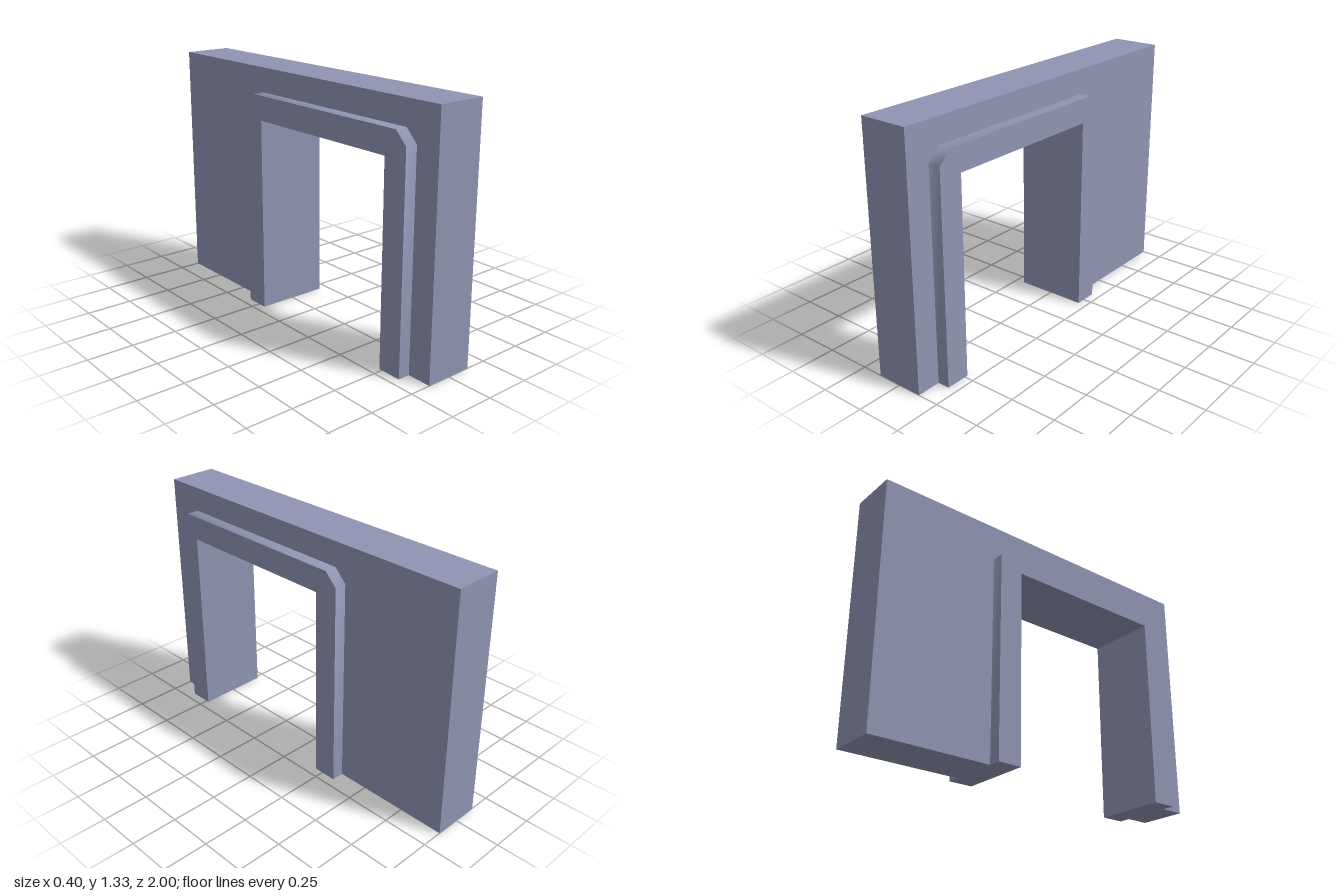
import * as THREE from 'three';
import { toCreasedNormals } from 'three/addons/utils/BufferGeometryUtils.js';

const WALL_HALF = 0.1333;   // half thickness of the wall
const TRIM_DEPTH = 0.0667;  // how far the trim stands proud

// Doorway opening, as [z, y]
const DOOR = { back: -0.2, front: 0.7333, top: 1.0667 };

// Arch-like outline: an outer path closed along the doorway edges
function archShape(outer) {
  const points = [
    ...outer,
    [DOOR.back, 0], [DOOR.back, DOOR.top], [DOOR.front, DOOR.top], [DOOR.front, 0],
  ];
  return new THREE.Shape(points.map(([z, y]) => new THREE.Vector2(z, y)));
}

// Extrude a (z, y) profile across x, centred on the given x
function extrudeAcross(shape, width, centreX) {
  const geometry = new THREE.ExtrudeGeometry(shape, { depth: width, bevelEnabled: false });
  geometry.translate(0, 0, -width / 2);
  geometry.rotateY(-Math.PI / 2);
  geometry.translate(centreX, 0, 0);
  return geometry;
}

export function createModel() {
  const group = new THREE.Group();
  group.name = 'doorwayWall';
  const wallPaint = new THREE.MeshStandardMaterial({ color: 0x8f94b2 });
  wallPaint.name = 'greyBlue';

  // Wall slab with the doorway cut out
  const wallShape = archShape([[1, 0], [1, 1.3333], [-1, 1.3333], [-1, 0]]);
  const wall = new THREE.Mesh(extrudeAcross(wallShape, WALL_HALF * 2, 0), wallPaint);
  wall.name = 'wall';
  group.add(wall);

  // Raised door trim with cut corners, shaded softly round its outer edge
  const trimShape = archShape([
    [0.8667, 0], [0.8667, 1.1333], [0.8, 1.2],
    [-0.2667, 1.2], [-0.3333, 1.1333], [-0.3333, 0],
  ]);
  for (const [side, name] of [[1, 'leftDoorTrim'], [-1, 'rightDoorTrim']]) {
    const geometry = extrudeAcross(trimShape, TRIM_DEPTH, side * (WALL_HALF + TRIM_DEPTH / 2));
    const trim = new THREE.Mesh(toCreasedNormals(geometry, Math.PI / 3), wallPaint);
    trim.name = name;
    group.add(trim);
  }

  return group;
}
